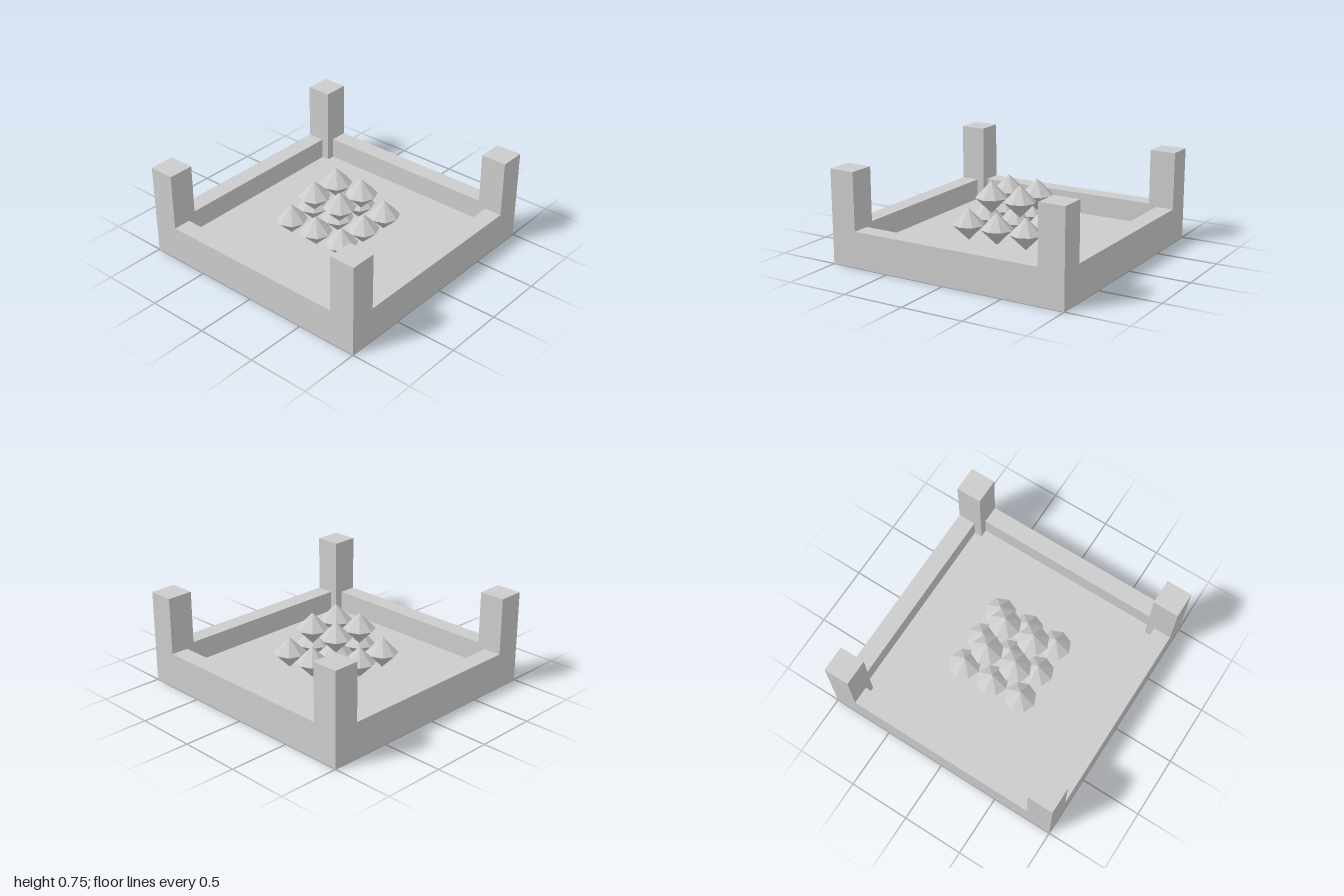
import * as THREE from 'three';

const POST = 0.21, POST_H = 0.747, WALL = 0.145, WALL_H = 0.287, FLOOR = 0.112, GEM_R = 0.129;

export function createModel() {
  const model = new THREE.Group();
  const mat = new THREE.MeshStandardMaterial({ color: 0xcccccc, flatShading: true });

  const add = (name, geometry, x, y, z) => {
    const mesh = new THREE.Mesh(geometry, mat);
    mesh.name = name;
    mesh.position.set(x, y, z);
    model.add(mesh);
  };
  // Box standing on height y0
  const box = (name, w, h, d, x, z) => add(name, new THREE.BoxGeometry(w, h, d), x, h / 2, z);

  // Tray floor
  box('floor', 2 - 2 * WALL, FLOOR, 2 - 2 * WALL, 0, 0);

  // Low walls between the posts
  const span = 2 - 2 * POST, mid = 1 - WALL / 2;
  box('frontWall', span, WALL_H, WALL, 0, mid);
  box('backWall', span, WALL_H, WALL, 0, -mid);
  box('leftWall', WALL, WALL_H, span, mid, 0);
  box('rightWall', WALL, WALL_H, span, -mid, 0);

  // Corner posts
  for (const sx of [-1, 1])
    for (const sz of [-1, 1])
      box('cornerPost', POST, POST_H, POST, sx * (1 - POST / 2), sz * (1 - POST / 2));

  // Eight-sided double-cone gems: a 3 x 3 layer with a 2 x 2 layer on top
  const gem = new THREE.SphereGeometry(GEM_R, 8, 2);
  const layer = (name, n, y) => {
    for (let i = 0; i < n; i++)
      for (let j = 0; j < n; j++)
        add(name, gem, (i - (n - 1) / 2) * 2 * GEM_R, y, (j - (n - 1) / 2) * 2 * GEM_R);
  };
  layer('lowerGem', 3, FLOOR + GEM_R);
  layer('upperGem', 2, 0.446);

  return model;
}
